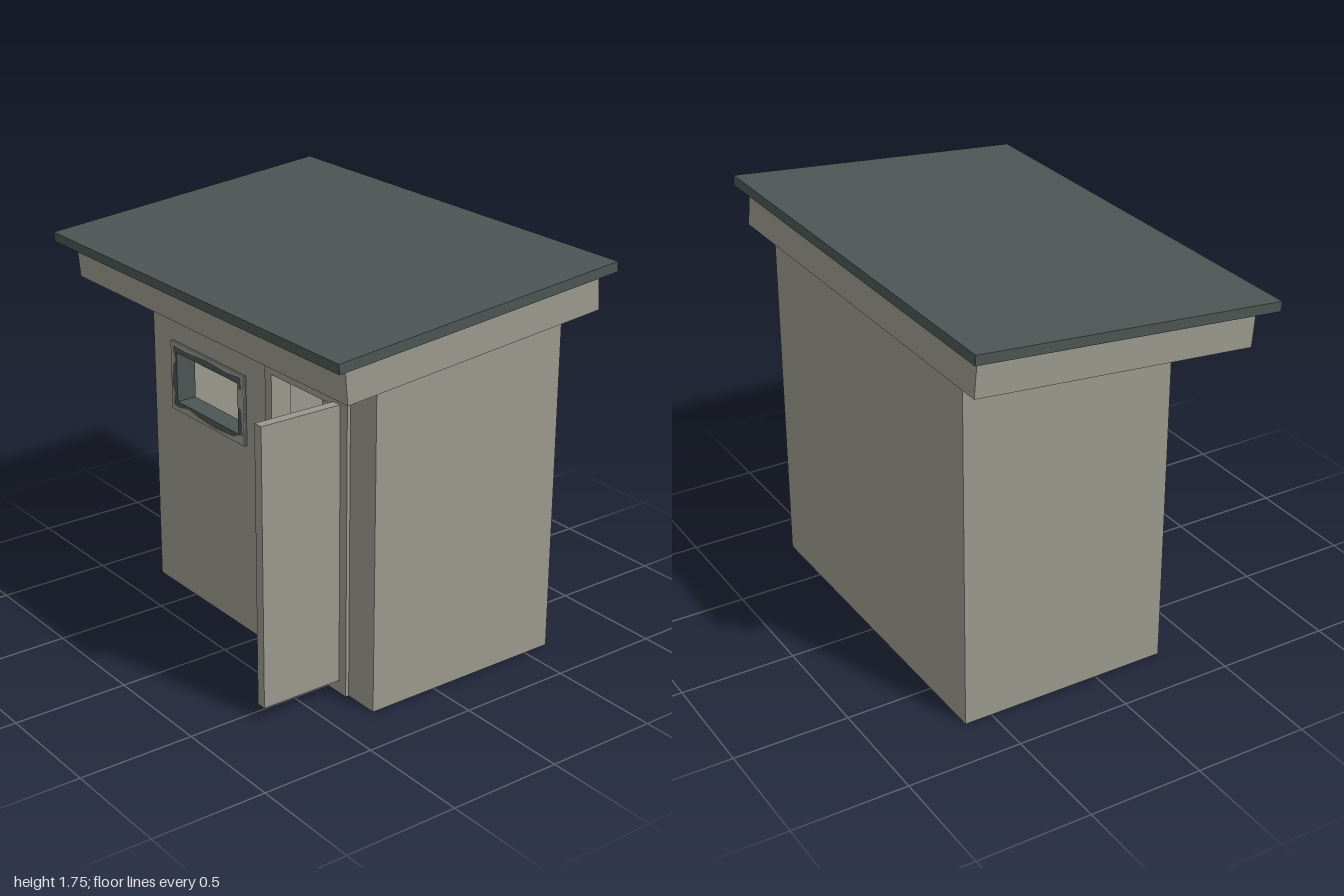
import * as THREE from 'three';

const wallMat = new THREE.MeshStandardMaterial({ color: 0x9a988d });
wallMat.name = 'weathered grey';
const darkMat = new THREE.MeshStandardMaterial({ color: 0x4c5654 });
darkMat.name = 'dark slate';

// Closed outline from [x, y] pairs
const path = (pts, Type = THREE.Path) => new Type(pts.map(([x, y]) => new THREE.Vector2(x, y)));
const rect = (x0, y0, x1, y1) => [[x0, y0], [x1, y0], [x1, y1], [x0, y1]];

export function createModel() {
  const model = new THREE.Group();
  model.name = 'shed';

  const add = (name, geo, mat) => {
    const mesh = new THREE.Mesh(geo, mat);
    mesh.name = name;
    model.add(mesh);
    return mesh;
  };
  const box = (name, mat, x0, x1, y0, y1, z0, z1) => {
    const mesh = add(name, new THREE.BoxGeometry(x1 - x0, y1 - y0, z1 - z0), mat);
    mesh.position.set((x0 + x1) / 2, (y0 + y1) / 2, (z0 + z1) / 2);
    return mesh;
  };
  // Upright plate between z0 and z1 with cut-outs
  const plate = (name, mat, outline, holes, z0, z1) => {
    const shape = path(outline, THREE.Shape);
    shape.holes = holes.map((h) => path(h));
    const geo = new THREE.ExtrudeGeometry(shape, { depth: z1 - z0, bevelEnabled: false });
    geo.translate(0, 0, z0);
    return add(name, geo, mat);
  };

  const W = 0.78, back = -0.62, front = 0.315, inner = 0.235, thick = 0.075;
  const doorway = rect(0.12, 0.05, 0.575, 1.245);
  const windowOuter = rect(-0.625, 0.865, -0.08, 1.175);
  const windowInner = rect(-0.585, 0.905, -0.125, 1.13);

  // Walls and floor
  plate('frontWall', wallMat, rect(-W, 0, W, 1.47), [doorway, windowOuter], inner, front);
  box('backWall', wallMat, -W, W, 0, 1.56, back, back + thick);
  box('floor', wallMat, -W + thick, W - thick, 0, 0.05, back + thick, inner);
  for (const side of [-1, 1]) {
    const profile = path([[back + thick, 0], [inner, 0], [inner, 1.48], [back + thick, 1.56]], THREE.Shape);
    const geo = new THREE.ExtrudeGeometry(profile, { depth: thick, bevelEnabled: false });
    geo.rotateY(-Math.PI / 2); // profile x becomes z
    geo.translate(side > 0 ? W : -W + thick, 0, 0);
    add(side > 0 ? 'leftWall' : 'rightWall', geo, wallMat);
  }

  // Door surround and the door, swung open
  plate('doorFrame', wallMat, rect(0.075, 0, 0.62, 1.287), [doorway], front, 0.33);
  box('door', wallMat, 0.53, 0.574, 0.055, 1.26, 0.29, 0.7);

  // Window: dark deep frame, with flaking grey trim on its face
  plate('windowFrame', darkMat, windowOuter, [windowInner], inner, 0.327);
  plate('windowTrim', wallMat, windowOuter, [[
    [-0.607, 1.16], [-0.5, 1.156], [-0.35, 1.165], [-0.2, 1.157], [-0.1, 1.165], [-0.095, 1.115],
    [-0.125, 1.11], [-0.125, 1.03], [-0.097, 1.02], [-0.09, 0.91], [-0.125, 0.9], [-0.16, 0.885],
    [-0.3, 0.876], [-0.42, 0.884], [-0.5, 0.897], [-0.57, 0.883], [-0.61, 0.885], [-0.6, 0.94],
    [-0.62, 0.98], [-0.605, 1.07], [-0.59, 1.09], [-0.6, 1.13],
  ]], 0.327, 0.33);

  // Sloping roof: boxed eaves under a dark slab, low at the front
  const tilt = 0.0885;
  const eaves = box('eaves', wallMat, -0.94, 0.94, 1.485, 1.64, -0.66, 0.585);
  eaves.position.set(0, 1.5625, -0.0385);
  eaves.rotation.x = tilt;
  const roof = box('roof', darkMat, -1, 1, 0, 0.042, -0.68, 0.68);
  roof.position.set(0, 1.667, -0.017);
  roof.rotation.x = tilt;

  return model;
}
